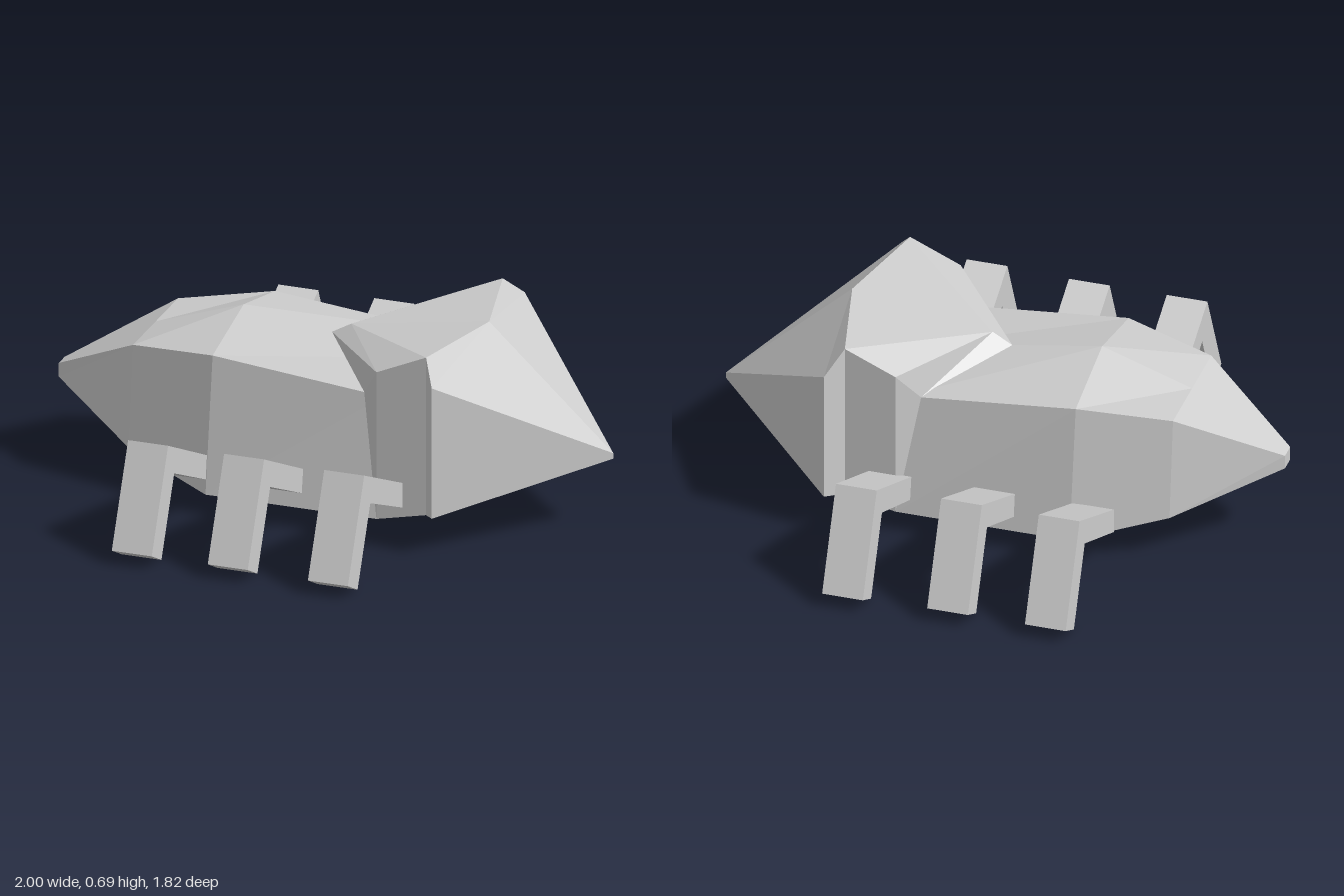
import * as THREE from 'three';

const grey = new THREE.MeshStandardMaterial({ color: 0xcccccc });
grey.name = 'light grey';

// Flat-faced mesh from convex polygons of [x, y, z] corners
function facetMesh(name, polygons) {
  const pos = [];
  for (const p of polygons)
    for (let i = 1; i < p.length - 1; i++) pos.push(...p[0], ...p[i], ...p[i + 1]);
  const geo = new THREE.BufferGeometry();
  geo.setAttribute('position', new THREE.Float32BufferAttribute(pos, 3));
  geo.computeVertexNormals();
  const mesh = new THREE.Mesh(geo, grey);
  mesh.name = name;
  return mesh;
}

// Five-cornered body lofted from the tail to the head
function createBody() {
  // x, bottom y, shoulder y, ridge y, bottom half width, shoulder half width
  const stations = [
    [-1, 0.28, 0.33, 0.33, 0.03, 0.03],
    [-0.66, 0.155, 0.52, 0.52, 0.26, 0.22],
    [-0.34, 0.075, 0.56, 0.63, 0.375, 0.305],
    [0.28, 0.075, 0.498, 0.523, 0.375, 0.305],
  ];
  const rings = stations.map(([x, yb, ys, yr, wb, ws]) => [
    [x, yb, -wb], [x, yb, wb], [x, ys, ws], [x, yr, 0], [x, ys, -ws],
  ]);
  const faces = [rings[0], [...rings[3]].reverse()];
  for (let s = 0; s < 3; s++)
    for (let i = 0; i < 5; i++) {
      const j = (i + 1) % 5;
      faces.push([rings[s][i], rings[s + 1][i], rings[s + 1][j], rings[s][j]]);
    }
  return facetMesh('body', faces);
}

// Pointed head with a V-shaped collar; one half is described and mirrored
function createHead() {
  const lipLow = [-0.02, 0.575, 0], lipTop = [0.05, 0.615, 0];
  const collarTop = [0.28, 0.615, 0.375], collarMid = [0.21, 0.505, 0.305], collarLow = [0.28, 0.075, 0.375];
  const rimTop = [0.46, 0.695, 0.375], rimLow = [0.46, 0.115, 0.375];
  const cheekTop = [0.51, 0.62, 0.455], cheekLow = [0.51, 0.14, 0.455];
  const brow = [0.55, 0.695, 0], chin = [0.55, 0.115, 0], throat = [0.28, 0.075, 0];
  const tipTop = [1, 0.275, 0], tipLow = [1, 0.255, 0];
  const half = [
    [lipLow, collarMid, collarTop, lipTop],
    [collarMid, collarLow, collarTop],
    [lipTop, collarTop, rimTop],
    [lipTop, rimTop, brow],
    [collarTop, collarLow, rimLow, rimTop],
    [rimTop, rimLow, cheekLow, cheekTop],
    [rimTop, cheekTop, brow],
    [cheekTop, tipTop, brow],
    [cheekTop, cheekLow, tipLow, tipTop],
    [cheekLow, chin, tipLow],
    [cheekLow, rimLow, chin],
    [rimLow, collarLow, chin],
    [collarLow, throat, chin],
  ];
  const mirrored = half.map(f => f.map(([x, y, z]) => [x, y, -z]).reverse());
  return facetMesh('head', [...half, ...mirrored]);
}

// Bent leg extruded across its width
function createLeg(x, side, reach) {
  const width = 0.145;
  const outline = [
    [0.34, 0.205], [0.735 + reach, 0.395], [0.895 + reach, 0.05],
    [0.8 + reach, 0], [0.675 + reach, 0.27], [0.34, 0.115],
  ];
  const shape = new THREE.Shape(outline.map(([a, b]) => new THREE.Vector2(a, b)));
  const leg = new THREE.Mesh(new THREE.ExtrudeGeometry(shape, { depth: width, bevelEnabled: false }), grey);
  leg.rotation.y = -side * Math.PI / 2;
  leg.position.x = side > 0 ? x + width : x;
  return leg;
}

export function createModel() {
  const model = new THREE.Group();
  model.name = 'sixLeggedWalker';
  model.add(createBody(), createHead());
  const legs = [['rear', -0.487, 0], ['middle', -0.139, 0], ['fore', 0.23, 0.016]];
  for (const [label, x, reach] of legs)
    for (const side of [1, -1]) {
      const leg = createLeg(x, side, reach);
      leg.name = label + (side > 0 ? 'LegFront' : 'LegBack');
      model.add(leg);
    }
  return model;
}
